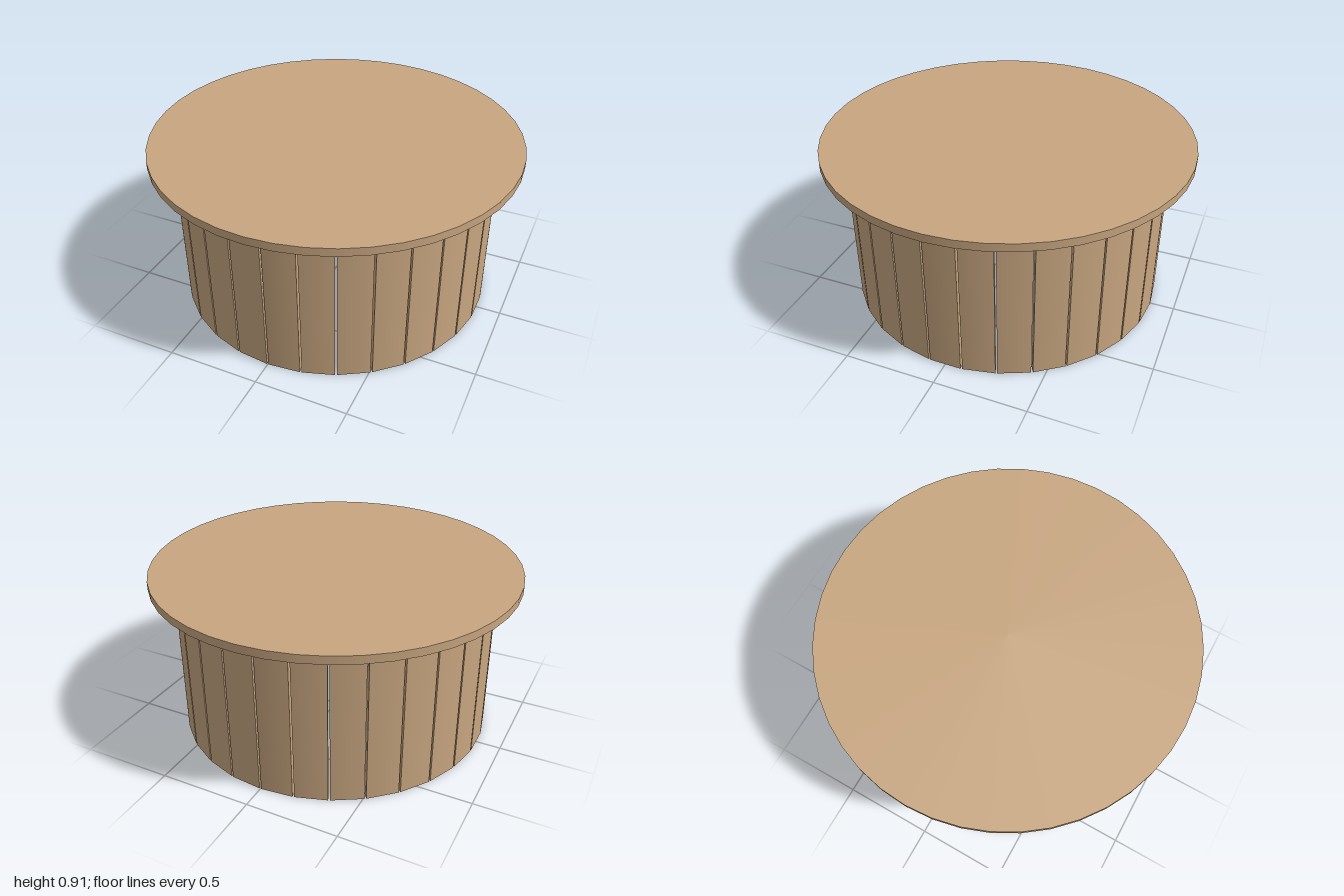
import * as THREE from 'three';

const STAVES = 30;
const OUTER = 0.868, INNER = 0.83, WALL_HEIGHT = 0.843;
const LID_SIDES = 44;

// One flat stave as a trapezoid prism, with normals that run smoothly round the wall
function staveGeometry() {
  const half = Math.PI / STAVES - 0.0055;
  const point = (r, a) => new THREE.Vector2(r * Math.sin(a), -r * Math.cos(a));
  const shape = new THREE.Shape([
    point(OUTER, -half), point(OUTER, half), point(INNER, half), point(INNER, -half),
  ]);
  const geo = new THREE.ExtrudeGeometry(shape, { depth: WALL_HEIGHT, bevelEnabled: false });
  geo.rotateX(-Math.PI / 2);
  const pos = geo.attributes.position, normal = geo.attributes.normal;
  for (let i = 0; i < pos.count; i++) {
    const facing = normal.getZ(i);
    if (Math.abs(facing) < 0.9) continue;
    const radial = new THREE.Vector3(pos.getX(i), 0, pos.getZ(i)).normalize().multiplyScalar(Math.sign(facing));
    normal.setXYZ(i, radial.x, radial.y, radial.z);
  }
  return geo;
}

export function createModel() {
  const model = new THREE.Group();
  model.name = 'roundTub';
  const wood = new THREE.MeshStandardMaterial({ color: 0xc8a680 });
  wood.name = 'lightWood';

  // Ring of staves, open at the bottom
  const wall = new THREE.Group();
  wall.name = 'staveWall';
  const geo = staveGeometry();
  for (let i = 0; i < STAVES; i++) {
    const stave = new THREE.Mesh(geo, wood);
    stave.name = 'stave';
    stave.rotation.y = ((i + 0.5) * 2 * Math.PI) / STAVES;
    wall.add(stave);
  }
  model.add(wall);

  // Stepped round top
  const disc = (name, radius, bottom, top) => {
    const mesh = new THREE.Mesh(new THREE.CylinderGeometry(radius, radius, top - bottom, LID_SIDES), wood);
    mesh.name = name;
    mesh.position.y = (bottom + top) / 2;
    model.add(mesh);
  };
  disc('lowerLip', 0.935, 0.843, 0.867);
  disc('topBoard', 1, 0.867, 0.911);

  return model;
}
